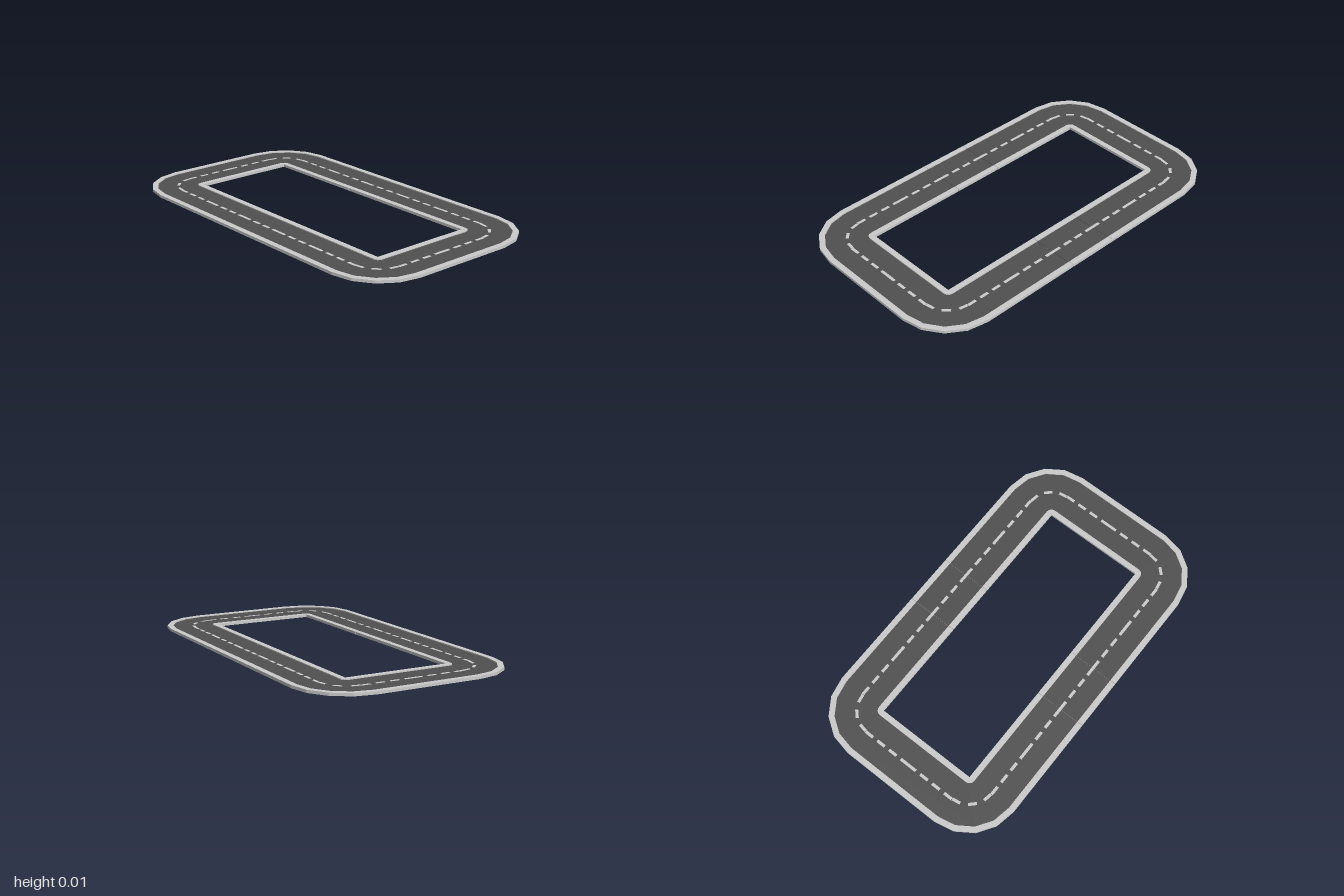
import * as THREE from 'three';

const T = 2 / 7;              // tile unit: the loop is 7 x 4 tiles
const KERB = 0.031;           // kerb width
const H = 0.015, ROAD = 0.010, BASE = 0.008;
const SEAM = T / 2;           // half length of the middle tiles
const GAP = 0.001;            // half width of the joint between tiles
const CX = 2.5 * T, CZ = T;   // centre of the corner arcs

const grey = new THREE.MeshStandardMaterial({ color: 0xcccccc });
const asphalt = new THREE.MeshStandardMaterial({ color: 0x505050 });

// U-shaped line around one end of the loop, r away from the inner edge
function endPath(r) {
  const pts = [new THREE.Vector2(SEAM + GAP, -CZ - r)];
  for (const side of [-1, 1]) {
    const steps = r > 0 ? 4 : 0;
    for (let i = 0; i <= steps; i++) {
      const a = (side < 0 ? -Math.PI / 2 : 0) + (steps ? (i / steps) * Math.PI / 2 : 0);
      pts.push(new THREE.Vector2(CX + r * Math.cos(a), side * CZ + r * Math.sin(a)));
    }
  }
  pts.push(new THREE.Vector2(SEAM + GAP, CZ + r));
  return pts;
}

function extrudeFlat(points, y0, y1) {
  const geo = new THREE.ExtrudeGeometry(new THREE.Shape(points), { depth: y1 - y0, bevelEnabled: false });
  return geo.rotateX(-Math.PI / 2).translate(0, y0, 0);
}

function addMesh(parent, name, geo, mat) {
  const mesh = new THREE.Mesh(geo, mat);
  mesh.name = name;
  parent.add(mesh);
  return mesh;
}

// Flat painted dash lying on the road
function addDash(parent, x, z, length, angle = 0) {
  const dash = addMesh(parent, 'laneDash', new THREE.BoxGeometry(length, 0.001, 0.016), grey);
  dash.position.set(x, ROAD + 0.0004, z);
  dash.rotation.y = angle;
}

// Strips across the track: inner radius, outer radius, bottom, top
const STRIPS = [
  ['innerKerb', 0, KERB, 0, H, grey],
  ['roadBase', KERB, T - KERB, 0, BASE, grey],
  ['roadSurface', KERB, T - KERB, BASE, ROAD, asphalt],
  ['outerKerb', T - KERB, T, 0, H, grey],
];

const DASH = 0.05;
const STEP = (T - DASH) / 3;

// Four dashes along one tile centred at (x, z)
function addTileDashes(parent, x, z, alongZ) {
  for (let i = 0; i < 4; i++) {
    const o = (i - 1.5) * STEP;
    addDash(parent, x + (alongZ ? 0 : o), z + (alongZ ? o : 0), DASH, alongZ ? Math.PI / 2 : 0);
  }
}

// Curved end with two corners and its straight runs
function createEnd() {
  const end = new THREE.Group();
  end.name = 'trackEnd';
  for (const [name, r0, r1, y0, y1, mat] of STRIPS) {
    addMesh(end, name, extrudeFlat([...endPath(r1), ...endPath(r0).reverse()], y0, y1), mat);
  }
  const mid = T / 2;
  for (const s of [-1, 1]) {
    addTileDashes(end, T, s * (CZ + mid), false);
    addTileDashes(end, 2 * T, s * (CZ + mid), false);
    addTileDashes(end, CX + mid, s * T / 2, true);
    // dashes round the corner
    for (const deg of [10, 45, 80]) {
      const a = THREE.MathUtils.degToRad(deg);
      addDash(end, CX + 0.97 * mid * Math.cos(a), s * (CZ + 0.97 * mid * Math.sin(a)), 0.046, s * (Math.PI / 2 - a));
    }
  }
  return end;
}

// Straight middle tile on one long side
function createMiddle(side) {
  const tile = new THREE.Group();
  tile.name = 'middleTile';
  for (const [name, r0, r1, y0, y1, mat] of STRIPS) {
    const geo = new THREE.BoxGeometry(2 * (SEAM - GAP), y1 - y0, r1 - r0);
    addMesh(tile, name, geo, mat).position.set(0, (y0 + y1) / 2, side * (CZ + (r0 + r1) / 2));
  }
  addTileDashes(tile, 0, side * (CZ + T / 2), false);
  return tile;
}

export function createModel() {
  const track = new THREE.Group();
  track.name = 'raceTrack';
  for (const turn of [0, Math.PI]) {
    const end = createEnd();
    end.rotation.y = turn;
    track.add(end);
  }
  for (const side of [-1, 1]) track.add(createMiddle(side));
  return track;
}
